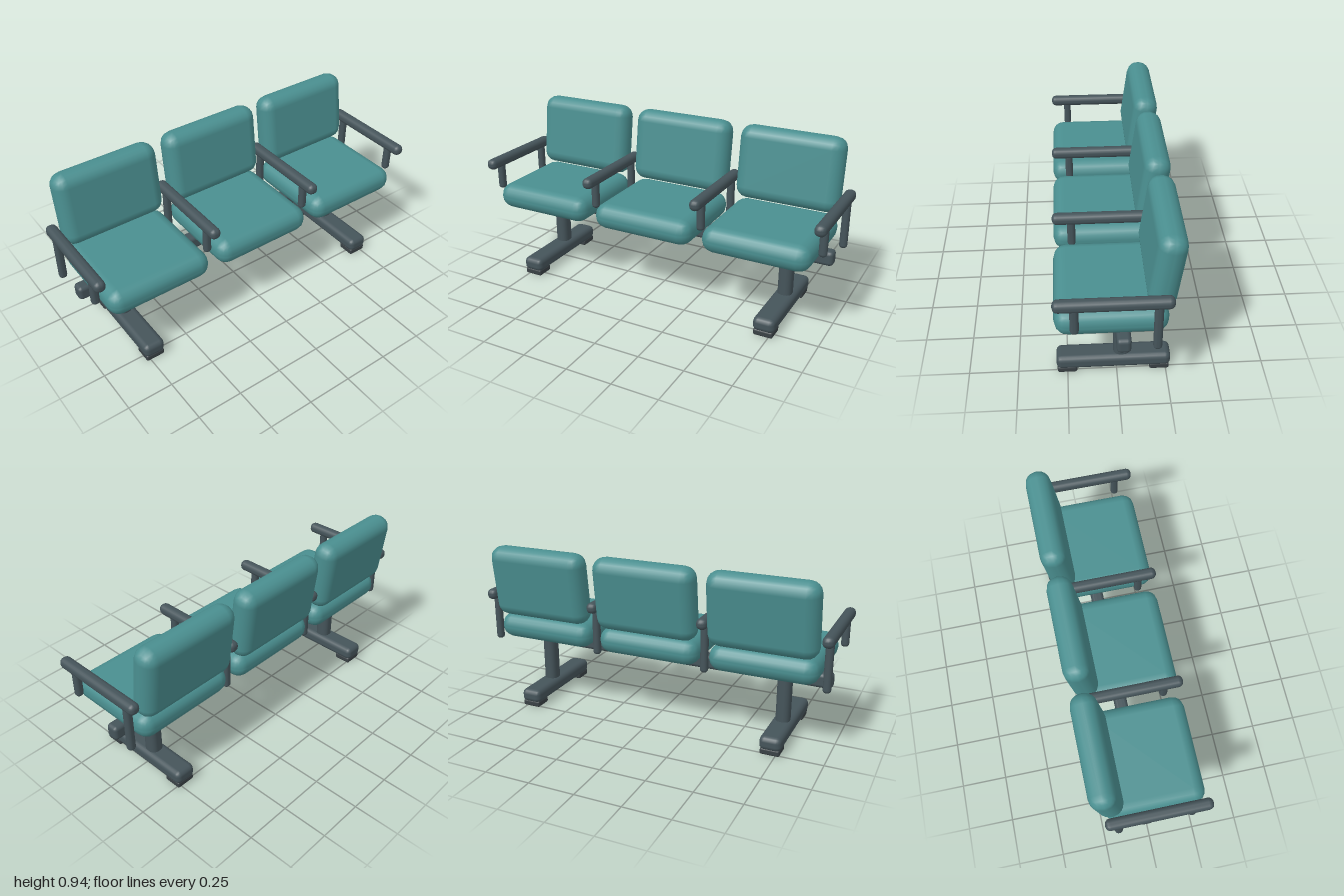
import * as THREE from 'three';
import { RoundedBoxGeometry } from 'three/addons/geometries/RoundedBoxGeometry.js';

const fabric = new THREE.MeshStandardMaterial({ color: 0x4a8f90 });
const metal = new THREE.MeshStandardMaterial({ color: 0x45545a });
const rubber = new THREE.MeshStandardMaterial({ color: 0x394145 });

// Rounded block given by its size and centre
function block(parent, name, material, size, centre, radius) {
  const mesh = new THREE.Mesh(new RoundedBoxGeometry(...size, 2, radius), material);
  mesh.name = name;
  mesh.position.set(...centre);
  parent.add(mesh);
  return mesh;
}

function part(parent, name, x) {
  const group = new THREE.Group();
  group.name = name;
  group.position.x = x;
  parent.add(group);
  return group;
}

export function createModel() {
  const bench = new THREE.Group();
  bench.name = 'beamSeating';

  // Long beam that carries the seats
  block(bench, 'beam', metal, [1.94, 0.08, 0.07], [0, 0.365, -0.02], 0.02);

  // Three padded seats with leaning backs
  for (const x of [-0.64, 0, 0.64]) {
    const seat = part(bench, 'seat', x);
    block(seat, 'seatCushion', fabric, [0.58, 0.142, 0.543], [0, 0.46, 0.034], 0.066);
    const back = block(seat, 'backCushion', fabric, [0.58, 0.405, 0.14], [0, 0.737, -0.217], 0.066);
    back.rotation.x = -0.13;
  }

  // Four armrests, one at each end and one between seats
  for (const x of [-0.97, -0.32, 0.32, 0.97]) {
    const arm = part(bench, 'armrest', x);
    block(arm, 'armBar', metal, [0.06, 0.06, 0.552], [0, 0.641, 0.031], 0.026);
    block(arm, 'frontArmPost', metal, [0.042, 0.165, 0.042], [0, 0.5575, 0.209], 0.018);
    block(arm, 'rearArmPost', metal, [0.042, 0.28, 0.042], [0, 0.5, -0.174], 0.018);
  }

  // Two legs with foot bars and pads
  for (const x of [-0.72, 0.72]) {
    const leg = part(bench, 'leg', x);
    block(leg, 'column', metal, [0.076, 0.32, 0.084], [0, 0.215, -0.026], 0.03);
    block(leg, 'footBar', metal, [0.118, 0.077, 0.58], [0, 0.063, 0.016], 0.028);
    for (const z of [0.251, -0.217])
      block(leg, 'footPad', rubber, [0.105, 0.036, 0.1], [0, 0.018, z], 0.01);
  }
  return bench;
}
